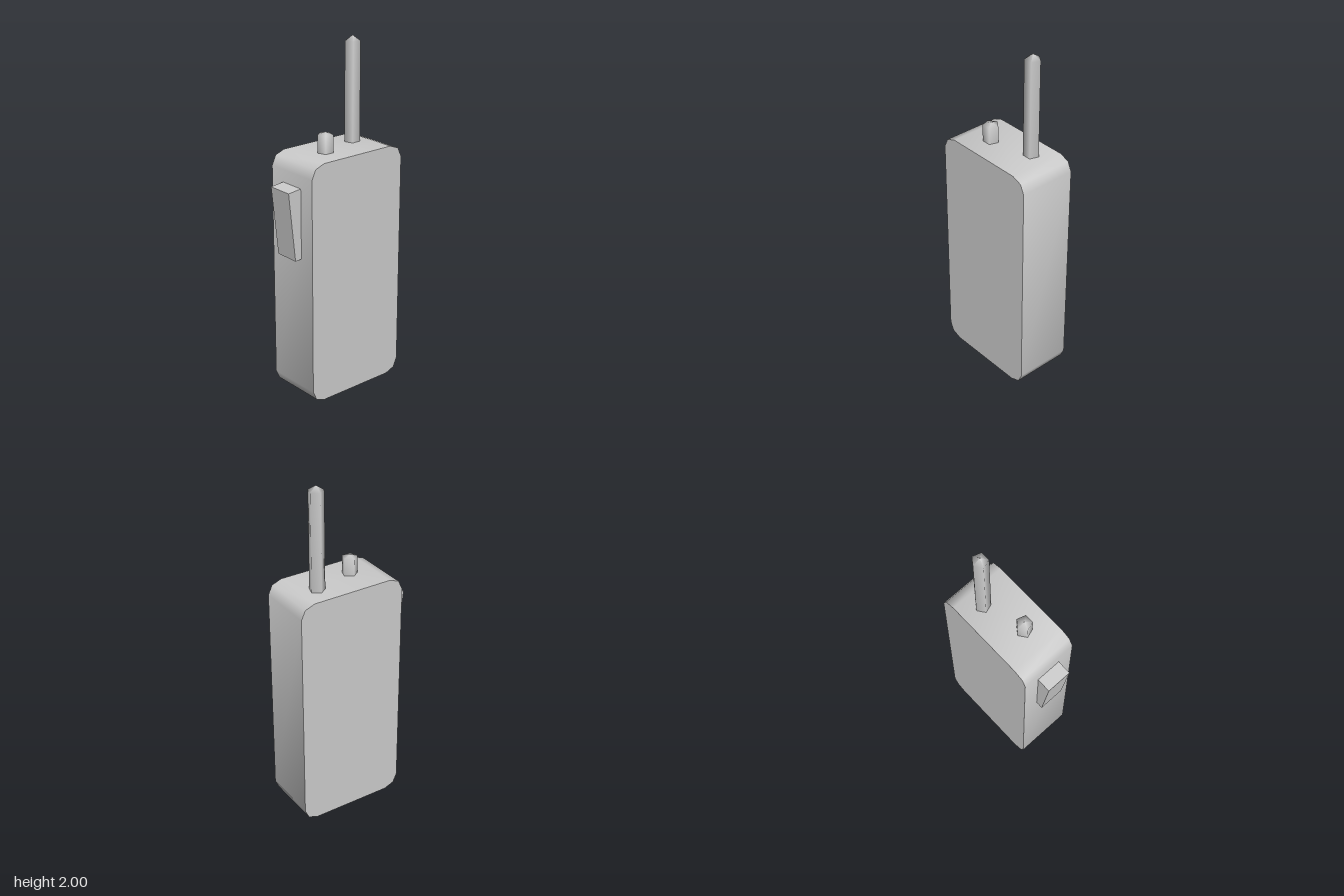
import * as THREE from 'three';
import { toCreasedNormals } from 'three/addons/utils/BufferGeometryUtils.js';

export function createModel() {
  const model = new THREE.Group();
  const material = new THREE.MeshStandardMaterial({ color: 0xcccccc });

  const add = (name, geometry, x = 0, y = 0, z = 0) => {
    const mesh = new THREE.Mesh(geometry, material);
    mesh.name = name;
    mesh.position.set(x, y, z);
    model.add(mesh);
    return mesh;
  };

  // Body: slab with two-step rounded corners, smooth around the rim
  const halfW = 0.321, halfH = 0.7025, depth = 0.338, rx = 0.083, ry = 0.075;
  const outline = [];
  [[1, 1], [-1, 1], [-1, -1], [1, -1]].forEach(([sx, sy], corner) => {
    for (let i = 0; i <= 2; i++) {
      const a = (corner + i / 2) * Math.PI / 2;
      outline.push(new THREE.Vector2(
        sx * (halfW - rx) + rx * Math.cos(a),
        sy * (halfH - ry) + ry * Math.sin(a)));
    }
  });
  const slab = new THREE.ExtrudeGeometry(new THREE.Shape(outline), { depth, bevelEnabled: false });
  slab.translate(0, 0, -depth / 2);
  add('body', toCreasedNormals(slab, Math.PI / 3), 0.039, halfH, 0);

  // Five-sided rods with a low pointed cap
  const rod = (name, x, z, shoulder, tip) => {
    const base = 1.39, radius = 0.045;
    const profile = [[radius, base], [radius, shoulder], [0, tip]].map(p => new THREE.Vector2(...p));
    add(name, new THREE.LatheGeometry(profile, 5, Math.PI), x, 0, z);
  };
  rod('antenna', 0.184, -0.044, 1.97, 2);
  rod('knob', -0.066, 0.021, 1.506, 1.52);

  // Tilted talk button, sunk into the side
  add('talkButton', new THREE.BoxGeometry(0.16, 0.4, 0.15), -0.264, 1.059, 0)
    .rotation.z = THREE.MathUtils.degToRad(6);

  return model;
}
